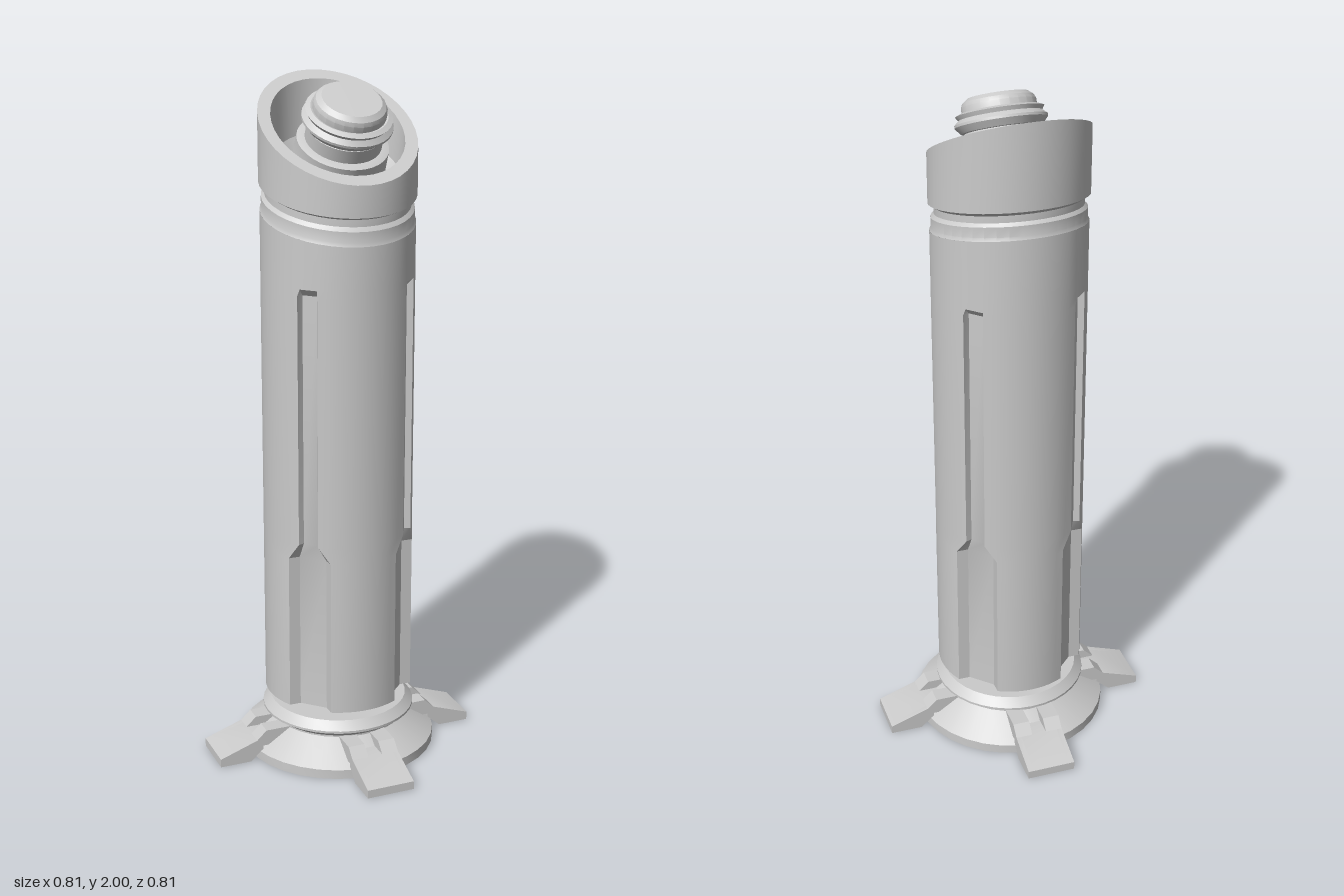
import * as THREE from 'three';
import { toCreasedNormals } from 'three/addons/utils/BufferGeometryUtils.js';

const V = (x, y, z) => new THREE.Vector3(x, y, z);
const material = new THREE.MeshStandardMaterial({ color: 0xcccccc, side: THREE.DoubleSide });

function mesh(name, geometry) {
  const m = new THREE.Mesh(toCreasedNormals(geometry, 0.45), material);
  m.name = name;
  return m;
}

// Skin between closed rings of equal point count, listed bottom to top
function loft(rings) {
  const pos = [];
  const n = rings[0].length;
  for (let i = 0; i < rings.length - 1; i++) {
    for (let j = 0; j < n; j++) {
      const k = (j + 1) % n;
      const a = rings[i][j], b = rings[i][k], c = rings[i + 1][k], d = rings[i + 1][j];
      for (const p of [a, b, c, a, c, d]) pos.push(p.x, p.y, p.z);
    }
  }
  const g = new THREE.BufferGeometry();
  g.setAttribute('position', new THREE.Float32BufferAttribute(pos, 3));
  g.computeVertexNormals();
  return g;
}

// Circle lying on a plane that drops towards the front
function slantedCircle(r, y, slope, n = 40) {
  return Array.from({ length: n }, (_, i) => {
    const a = (i / n) * Math.PI * 2;
    return V(r * Math.sin(a), y - slope * r * Math.cos(a), r * Math.cos(a));
  });
}

// Circle with four diagonal channels: opening half-width w, floor half-width f, depth d
const R = 0.22;
function channelRing(y, w, f, d, slope = 0, scale = 1) {
  const pts = [];
  const edge = Math.asin(w / R);
  for (let q = 0; q < 4; q++) {
    const mid = Math.PI / 4 + (q * Math.PI) / 2;
    const add = (t, u) => {
      const x = scale * (u * Math.sin(mid) + t * Math.cos(mid));
      const z = scale * (u * Math.cos(mid) - t * Math.sin(mid));
      pts.push(V(x, y - slope * z, z));
    };
    const floor = Math.sqrt(R * R - f * f) - d;
    add(-w, R * Math.cos(edge));
    add(-f, floor);
    add(f, floor);
    for (let i = 0; i < 9; i++) {
      const a = edge + (i / 9) * (Math.PI / 2 - 2 * edge);
      add(R * Math.sin(a), R * Math.cos(a));
    }
  }
  return pts;
}

function lathe(name, points, segments = 36) {
  return mesh(name, new THREE.LatheGeometry(points.map(p => new THREE.Vector2(...p)), segments));
}

// Side profile (radius, height) extruded across the width from x0 to x1, pointing to +z
function slab(name, points, x0, x1) {
  const shape = new THREE.Shape(points.map(p => new THREE.Vector2(...p)));
  const g = new THREE.ExtrudeGeometry(shape, { depth: x1 - x0, bevelEnabled: false });
  g.translate(0, 0, -x1);
  g.rotateY(-Math.PI / 2);
  return mesh(name, g);
}

function createFoot() {
  const foot = new THREE.Group();
  const W = 0.0725;
  foot.add(slab('footPlate', [[0.2, 0.045], [0.28, 0.045], [0.39, 0.012], [0.405, 0], [0.405, 0.025], [0.29, 0.065], [0.2, 0.065]], -W, W));
  const side = [[0.27, 0.035], [0.31, 0], [0.405, 0], [0.405, 0.025], [0.29, 0.065], [0.27, 0.065]];
  const prong = [[0.18, 0.045], [0.285, 0.045], [0.29, 0.065], [0.26, 0.093], [0.18, 0.093]];
  for (const s of [-1, 1]) {
    const span = (a, b) => (s > 0 ? [a, b] : [-b, -a]);
    foot.add(slab('footSide', side, ...span(W - 0.016, W)));
    foot.add(slab('footProng', prong, ...span(0.022, W)));
  }
  // ground edge closing the hollow underside
  foot.add(slab('footToe', [[0.388, 0], [0.405, 0], [0.405, 0.025], [0.388, 0.03]], -W, W));
  foot.add(slab('footHeel', [[0.295, 0.013], [0.31, 0], [0.325, 0], [0.32, 0.05], [0.295, 0.06]], -W, W));
  return foot;
}

export function createModel() {
  const model = new THREE.Group();

  // Main column with the four diagonal channels
  model.add(mesh('column', loft([
    channelRing(0.18, 0.066, 0.042, 0.03, 0, 0.2),
    channelRing(0.18, 0.066, 0.042, 0.03),
    channelRing(0.65, 0.066, 0.042, 0.03),
    channelRing(0.70, 0.03, 0.022, 0.018),
    channelRing(1.435, 0.03, 0.022, 0.018),
    channelRing(1.455, 0.03, 0.022, 0),
    channelRing(1.625, 0.03, 0.022, 0, 0.22),
  ])));

  // Slanted band, groove and hooded open head
  model.add(mesh('head', loft([
    [R, 1.625, 0.22], [0.216, 1.635, 0.22], [0.216, 1.665, 0.22], [0.207, 1.675, 0.22],
    [0.207, 1.695, 0.22], [0.223, 1.705, 0.22], [0.223, 1.872, 0.57], [0.187, 1.872, 0.57],
    [0.18, 1.75, 0.42], [0.155, 1.715, 0.42], [0.001, 1.70, 0.42],
  ].map(r => slantedCircle(...r)))));

  // Tilted emitter inside the head
  const emitter = new THREE.Group();
  emitter.name = 'emitter';
  emitter.add(
    lathe('collar', [[0.15, -0.07], [0.132, 0.0], [0.13, 0.08], [0.112, 0.085], [0.1, 0.085]]),
    lathe('neck', [[0.108, 0.05], [0.108, 0.125], [0.095, 0.135], [0.095, 0.145]]),
    lathe('flange', [[0.09, 0.128], [0.112, 0.13], [0.128, 0.148], [0.128, 0.155], [0.115, 0.167], [0.122, 0.178], [0.108, 0.184], [0.09, 0.178]]),
    lathe('knob', [[0.103, 0.17], [0.103, 0.2], [0.098, 0.211], [0.084, 0.222], [0, 0.224]], 24),
  );
  emitter.position.y = 1.762;
  emitter.rotation.x = THREE.MathUtils.degToRad(27);
  model.add(emitter);

  // Stem, bevelled ring and hollow flared base
  model.add(lathe('stem', [[0, 0.035], [0.12, 0.035], [0.125, 0.045], [0.125, 0.19]]));
  model.add(lathe('collarRing', [[0.12, 0.095], [0.2, 0.095], [0.228, 0.115], [0.228, 0.122], [0.205, 0.147], [0.12, 0.147]]));
  model.add(lathe('flaredBase', [
    [0.12, 0.07], [0.17, 0.07], [0.18, 0.078], [0.272, 0.022], [0.275, 0], [0.29, 0], [0.29, 0.028], [0.2, 0.09], [0.2, 0.1],
  ], 32));

  // Four feet
  for (let i = 0; i < 4; i++) {
    const foot = createFoot();
    foot.name = ['frontFoot', 'leftFoot', 'backFoot', 'rightFoot'][i];
    foot.rotation.y = (i * Math.PI) / 2;
    model.add(foot);
  }
  return model;
}
